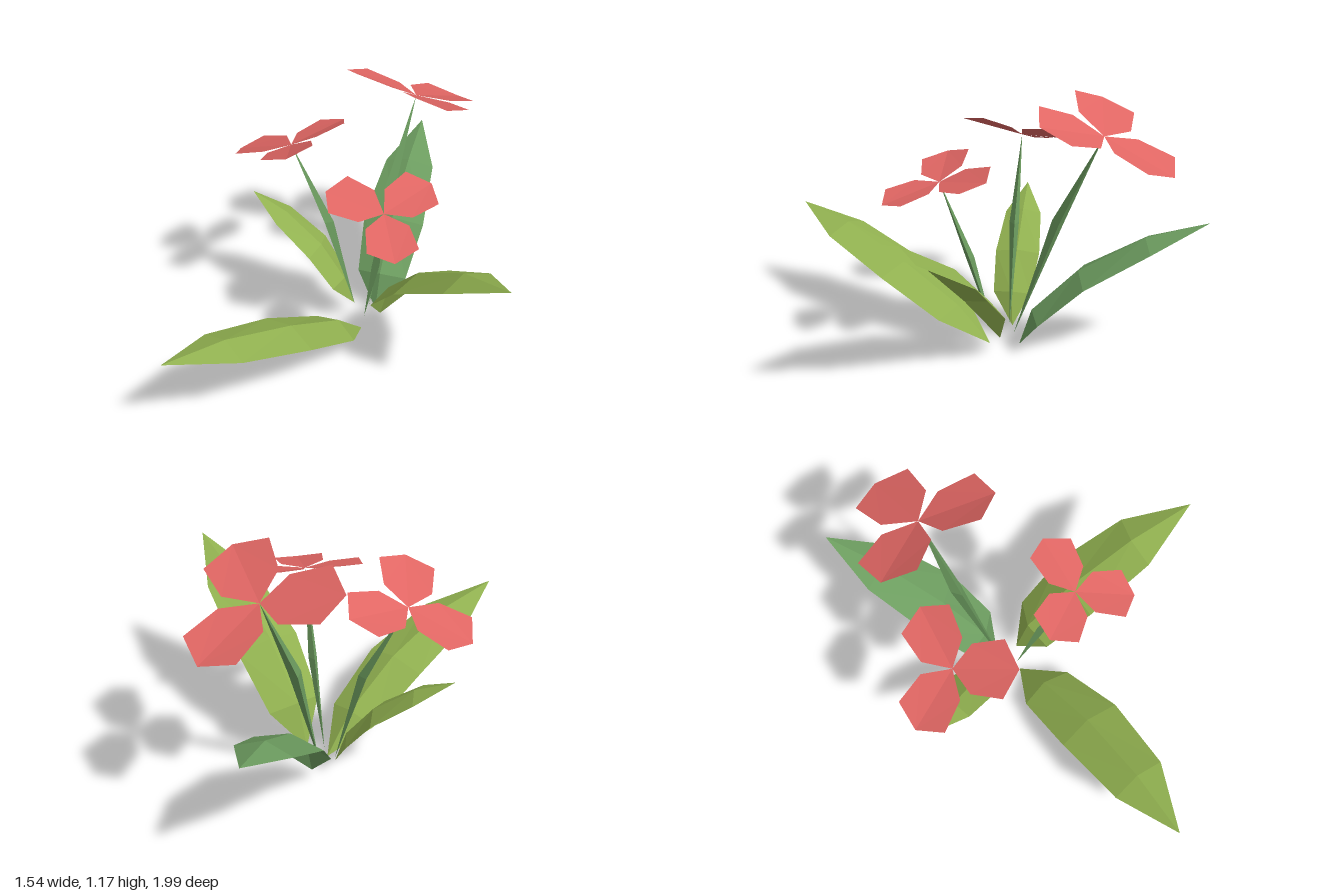
import * as THREE from 'three';

const V = (a) => new THREE.Vector3(...a);

function mat(name, color) {
  const m = new THREE.MeshStandardMaterial({ color, flatShading: true, side: THREE.DoubleSide });
  m.name = name;
  return m;
}

// Faceted mesh from points and triangle indices
function faceted(name, points, index, material) {
  const indexed = new THREE.BufferGeometry().setFromPoints(points);
  indexed.setIndex(index);
  const geo = indexed.toNonIndexed();
  geo.computeVertexNormals();
  const mesh = new THREE.Mesh(geo, material);
  mesh.name = name;
  return mesh;
}

// Leaf: cross-sections of left edge, raised midrib and right edge between two pointed ends
function leaf(name, mids, halfWidths, ridge, material) {
  const p = mids.map(V);
  const last = p.length - 1;
  const dir = p[last].clone().sub(p[0]).setY(0).normalize();
  const side = new THREE.Vector3(-dir.z, 0, dir.x);
  const pts = [p[0]];
  for (let i = 1; i < last; i++) {
    const along = p[i + 1].clone().sub(p[i - 1]).normalize();
    const up = side.clone().cross(along).normalize();
    if (up.y < 0) up.negate();
    const w = halfWidths[i - 1];
    pts.push(
      p[i].clone().addScaledVector(side, -w),
      p[i].clone().addScaledVector(up, ridge),
      p[i].clone().addScaledVector(side, w));
  }
  pts.push(p[last]);
  const end = pts.length - 1;
  const idx = [0, 2, 1, 0, 3, 2];
  for (let a = 1; a + 3 < end; a += 3) {
    for (let k = a; k < a + 2; k++) idx.push(k, k + 1, k + 3, k + 1, k + 4, k + 3);
  }
  idx.push(end - 3, end - 2, end, end - 2, end - 1, end);
  return faceted(name, pts, idx, material);
}

// Stem: three-sided spindle, thickest at the bend
function stem(base, mid, top, radius, material) {
  const pts = [V(base), V(top)];
  for (let i = 0; i < 3; i++) {
    const a = (i / 3) * Math.PI * 2 + Math.PI / 2;
    pts.push(V(mid).add(new THREE.Vector3(Math.cos(a) * radius, 0, Math.sin(a) * radius)));
  }
  const idx = [];
  for (let i = 0; i < 3; i++) {
    const a = 2 + i, b = 2 + ((i + 1) % 3);
    idx.push(0, a, b, 1, b, a);
  }
  return faceted('stem', pts, idx, material);
}

// Flower: three cupped six-cornered petals around a tilted axis
function flower(center, normal, heading, size, material) {
  const group = new THREE.Group();
  group.name = 'flower';
  const n = V(normal).normalize();
  const [hx, hz] = heading;
  const u = new THREE.Vector3(hx, -(n.x * hx + n.z * hz) / n.y, hz).normalize();
  // Corners as distance out, sideways, lift
  const corners = [
    [0, 0, 0], [0.3, 0.35, 0.05], [0.79, 0.41, 0.09],
    [1, 0, 0.05], [0.79, -0.41, 0.09], [0.3, -0.35, 0.05]];
  for (let i = 0; i < 3; i++) {
    const out = u.clone().applyAxisAngle(n, (i * Math.PI * 2) / 3);
    const across = n.clone().cross(out);
    const pts = corners.map(([r, w, h]) => V(center)
      .addScaledVector(out, r * size)
      .addScaledVector(across, w * size)
      .addScaledVector(n, h * size));
    group.add(faceted('petal', pts, [0, 3, 1, 1, 3, 2, 0, 5, 3, 5, 4, 3], material));
  }
  return group;
}

export function createModel() {
  const model = new THREE.Group();
  model.name = 'floweringPlant';
  const lime = mat('leafGreen', 0x91b150);
  const green = mat('stemGreen', 0x6c9c5f);
  const coral = mat('petalCoral', 0xe06663);

  // Leaves
  model.add(
    leaf('frontLeaf', [[-0.14, 0, -0.13], [-0.13, 0.12, 0.06], [-0.13, 0.27, 0.355],
      [-0.16, 0.39, 0.7], [-0.2, 0.465, 0.99]], [0.125, 0.152, 0.127], 0.042, lime),
    leaf('leftLeaf', [[-0.09, 0.07, -0.21], [0.01, 0.243, -0.185], [0.217, 0.457, -0.137],
      [0.51, 0.643, -0.065], [0.77, 0.77, 0]], [0.127, 0.153, 0.125], 0.045, lime),
    leaf('rightLeaf', [[-0.24, 0.065, -0.19], [-0.3, 0.2, -0.15], [-0.41, 0.358, -0.115],
      [-0.57, 0.497, -0.055], [-0.71, 0.6, 0]], [0.085, 0.102, 0.083], 0.03, lime),
    leaf('backLeaf', [[-0.17, 0.02, -0.265], [-0.2, 0.172, -0.345], [-0.28, 0.368, -0.52],
      [-0.395, 0.535, -0.77], [-0.505, 0.65, -0.995]], [0.12, 0.15, 0.12], 0.042, green));

  // Stems
  model.add(
    stem([-0.18, 0.06, -0.23], [-0.225, 0.63, -0.415], [-0.23, 1.04, -0.605], 0.032, green),
    stem([-0.14, 0.06, -0.15], [-0.02, 0.46, -0.09], [0.1, 0.83, -0.01], 0.022, green),
    stem([-0.23, 0.07, -0.18], [-0.345, 0.53, -0.13], [-0.51, 0.9, -0.07], 0.025, green));

  // Flowers
  model.add(
    flower([-0.23, 1.04, -0.605], [0, 1, -0.45], [0, -1], 0.34, coral),
    flower([0.1, 0.83, -0.01], [0.29, 1, 0.2], [0.04, -0.245], 0.265, coral),
    flower([-0.51, 0.9, -0.07], [-0.4, 1, 0], [0.07, -0.275], 0.288, coral));
  return model;
}
